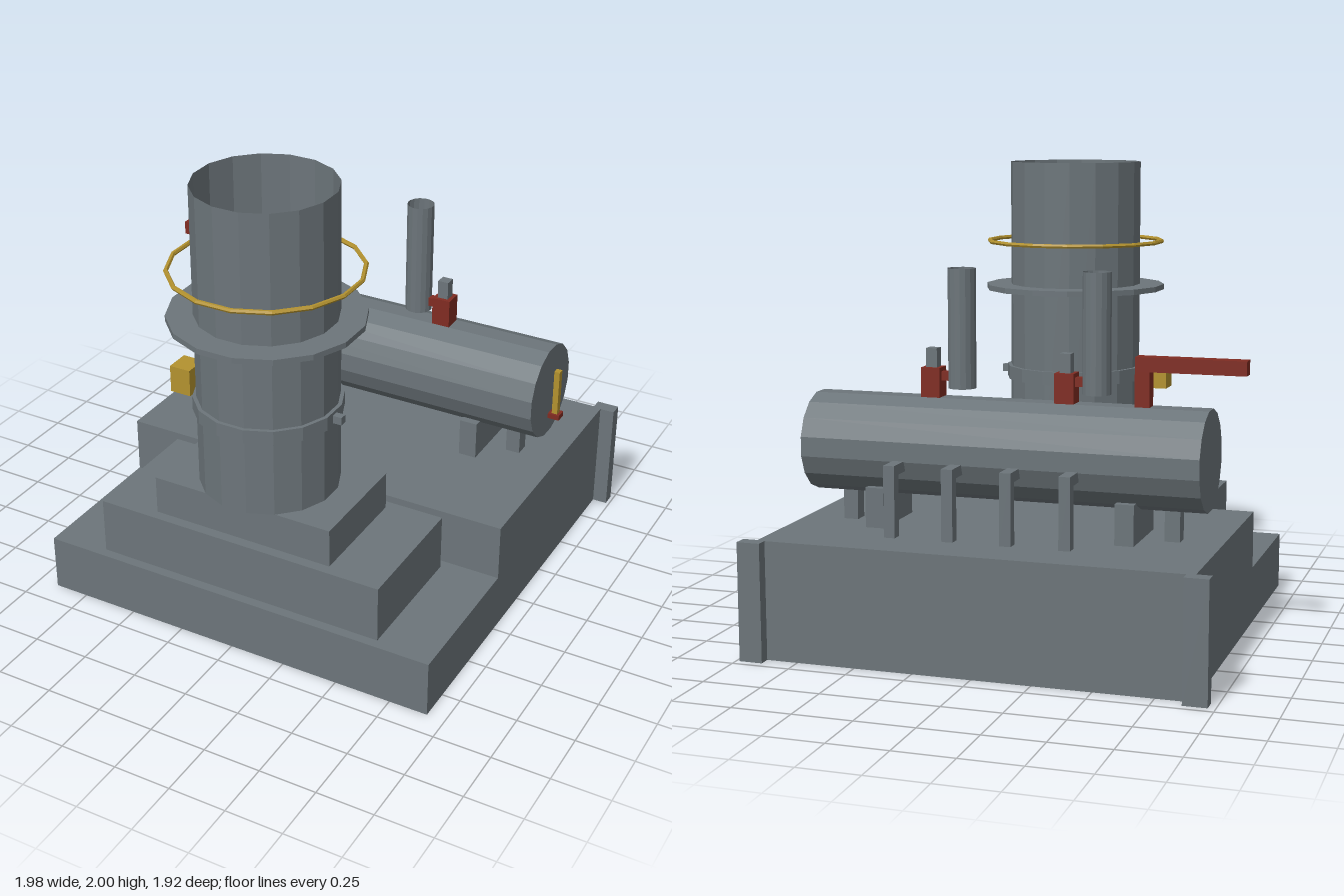
import * as THREE from 'three';

const mat = (name, color, opts = {}) => new THREE.MeshStandardMaterial({ name, color, flatShading: true, ...opts });

export function createModel() {
  const root = new THREE.Group();
  root.name = 'industrialPlant';
  const grey = mat('steelGrey', 0x6c757a, { side: THREE.DoubleSide });
  const red = mat('valveRed', 0x802c22);
  const yellow = mat('safetyYellow', 0xb3922f);

  const add = (name, geo, material, x, y, z) => {
    const mesh = new THREE.Mesh(geo, material);
    mesh.name = name;
    mesh.position.set(x, y, z);
    root.add(mesh);
    return mesh;
  };
  // Box given by its lower and upper limits on each axis
  const box = (name, material, [x0, x1], [y0, y1], [z0, z1]) =>
    add(name, new THREE.BoxGeometry(x1 - x0, y1 - y0, z1 - z0), material,
      (x0 + x1) / 2, (y0 + y1) / 2, (z0 + z1) / 2);
  // Sixteen-sided cylinder with flats on the axes; size is measured across flats
  const SIDES = 16, TURN = Math.PI / SIDES;
  const prism = (apothem, height, open = false) => {
    const r = apothem / Math.cos(TURN);
    return new THREE.CylinderGeometry(r, r, height, SIDES, 1, open).rotateY(TURN);
  };

  // Stepped foundation with two rear corner posts
  box('foundationFront', grey, [-0.905, 0.92], [0, 0.25], [0.225, 0.892]);
  box('foundationRear', grey, [-0.905, 0.92], [0, 0.5], [-0.915, 0.225]);
  for (const s of [-1, 1]) {
    const x = 0.008 + s * 0.927;
    box('cornerPost', grey, [x - 0.05, x + 0.05], [0, 0.5], [-0.965, -0.905]);
  }

  // Chimney plinths
  box('plinthLower', grey, [-0.655, 0.67], [0.25, 0.5], [0.268, 0.85]);
  box('plinthUpper', grey, [-0.405, 0.425], [0.5, 0.67], [0.31, 0.805]);

  // Chimney: open tube, collar, platform and guard rail
  const cx = 0.008, cz = 0.56;
  add('chimney', prism(0.291, 1.33, true), grey, cx, 1.335, cz);
  add('chimneyCollar', prism(0.307, 0.06), grey, cx, 1.04, cz);
  add('chimneyPlatform', prism(0.4, 0.024), grey, cx, 1.432, cz);
  const rail = new THREE.TorusGeometry(0.396, 0.01, 6, SIDES).rotateX(Math.PI / 2).rotateY(TURN);
  add('guardRail', rail, yellow, cx, 1.64, cz);
  for (const s of [-1, 1]) {
    const x = cx + s * 0.32;
    box('collarLug', grey, [x - 0.027, x + 0.027], [1.022, 1.056], [cz - 0.016, cz + 0.016]);
  }
  box('controlBox', yellow, [-0.44, -0.345], [0.98, 1.1], [0.503, 0.61]);

  // Horizontal tank and its supports
  const tz = -0.397;
  add('tank', prism(0.208, 1.705).rotateZ(Math.PI / 2), grey, 0.0075, 0.837, tz);
  for (const x of [-0.53, 0.55])
    box('tankSaddle', grey, [x - 0.04, x + 0.04], [0.5, 0.67], [-0.56, -0.235]);
  for (const x of [-0.698, 0.713])
    box('tankLeg', grey, [x - 0.032, x + 0.032], [0.5, 0.66], [tz - 0.033, tz + 0.033]);

  // Rear drain pipes with square elbows
  for (const x of [-0.325, -0.077, 0.171, 0.422]) {
    box('drainArm', grey, [x - 0.024, x + 0.024], [0.757, 0.8], [-0.665, -0.58]);
    box('drainDrop', grey, [x - 0.024, x + 0.024], [0.5, 0.8], [-0.711, -0.663]);
  }

  // Vent stacks, each joined by a nozzle to a relief valve
  for (const x of [-0.24, 0.342]) {
    add('ventStack', prism(0.058, 0.5, true), grey, x - 0.128, 1.336, tz);
    box('valveNozzle', red, [x - 0.083, x - 0.035], [1.115, 1.153], [tz - 0.017, tz + 0.017]);
    box('valveBody', red, [x - 0.041, x + 0.041], [1.035, 1.17], [tz - 0.041, tz + 0.041]);
    box('valveCap', grey, [x - 0.024, x + 0.024], [1.165, 1.25], [tz - 0.024, tz + 0.024]);
  }

  // Red outlet pipe
  box('outletRiser', red, [-0.597, -0.535], [1.035, 1.19], [tz - 0.031, tz + 0.031]);
  box('outletArm', red, [-0.992, -0.535], [1.19, 1.25], [tz - 0.031, tz + 0.031]);

  // Level gauge at the tank end
  box('gaugeTube', yellow, [0.88, 0.905], [0.735, 0.943], [tz - 0.015, tz + 0.015]);
  box('gaugeFoot', red, [0.866, 0.918], [0.713, 0.736], [tz - 0.025, tz + 0.025]);

  return root;
}
